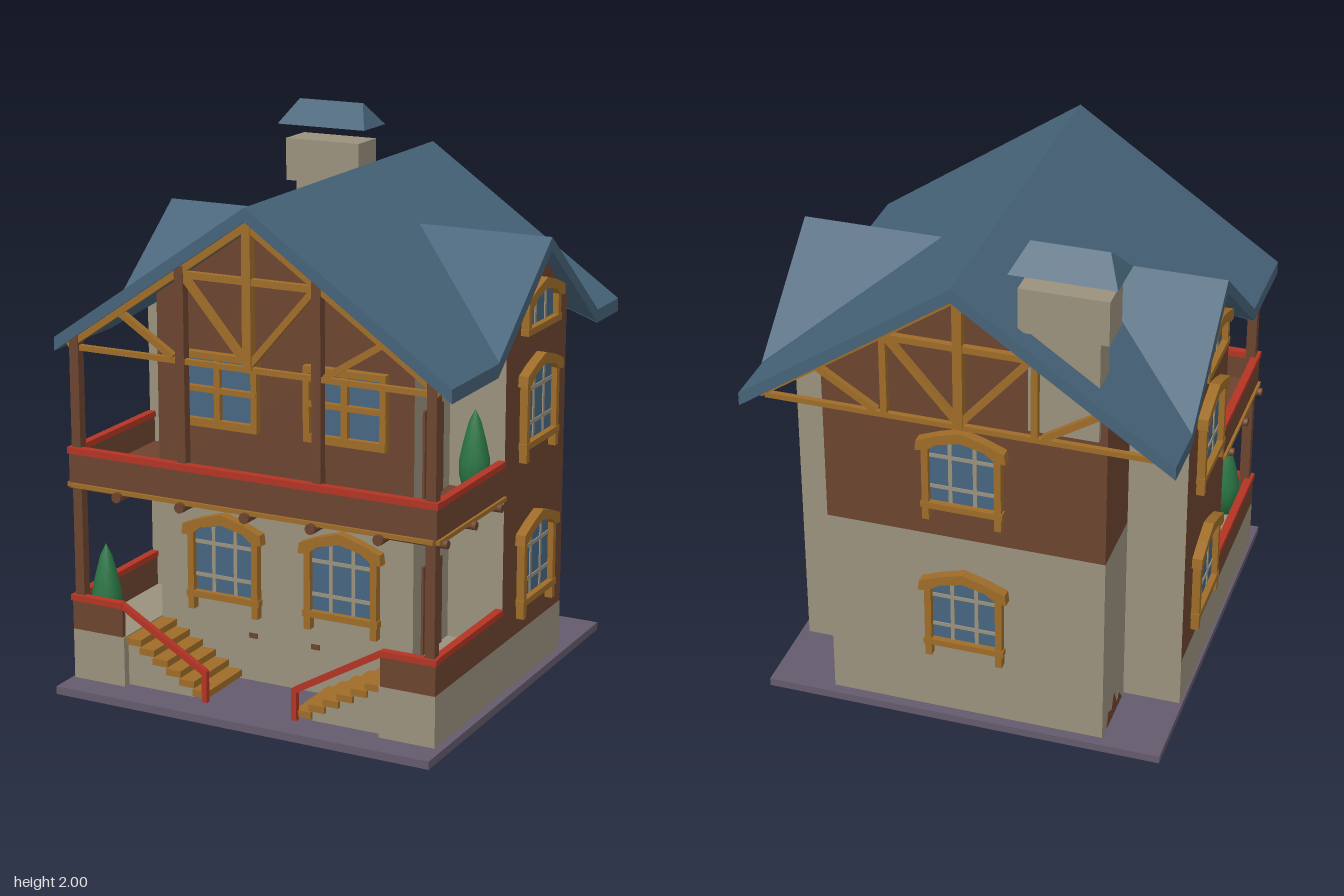
import * as THREE from 'three';

const mat = (name, color) => {
  const m = new THREE.MeshStandardMaterial({ color });
  m.name = name;
  return m;
};

export function createModel() {
  const house = new THREE.Group();
  house.name = 'house';
  const slate = mat('slate', 0x456278), wood = mat('brownWood', 0x6c442f), plaster = mat('plaster', 0x9a917d),
    trim = mat('goldenTrim', 0x9e6c28), red = mat('redRail', 0xb23424), glass = mat('glass', 0x466680),
    green = mat('foliage', 0x2a7444), stone = mat('purpleStone', 0x645a6c);

  const add = (name, geo, material, parent = house) => {
    const m = new THREE.Mesh(geo, material);
    m.name = name;
    parent.add(m);
    return m;
  };
  // Box given by its minimum and maximum corners
  const block = (name, material, x0, x1, y0, y1, z0, z1, parent = house) => {
    const m = add(name, new THREE.BoxGeometry(Math.abs(x1 - x0), y1 - y0, z1 - z0), material, parent);
    m.position.set((x0 + x1) / 2, (y0 + y1) / 2, (z0 + z1) / 2);
    return m;
  };
  // Square beam between two points
  const beam = (name, material, a, b, w = 0.024) => {
    const p = new THREE.Vector3(...a), q = new THREE.Vector3(...b);
    const m = add(name, new THREE.BoxGeometry(w, w, p.distanceTo(q)), material);
    m.position.copy(p).lerp(q, 0.5);
    m.lookAt(q);
    return m;
  };
  const shapeOf = pts => new THREE.Shape(pts.map(p => new THREE.Vector2(...p)));
  const extrude = (pts, depth) => new THREE.ExtrudeGeometry(shapeOf(pts), { depth, bevelEnabled: false });

  // Ground plate and storey walls
  block('groundPlate', stone, -0.74, 0.76, 0, 0.03, -0.73, 0.8);
  block('lowerWalls', plaster, -0.515, 0.515, 0.03, 0.79, -0.69, 0.42);
  const gable = [[-0.515, 0.79], [0.515, 0.79], [0.515, 1.45], [0, 1.8], [-0.515, 1.45]];
  add('upperFrontWalls', extrude(gable, 0.56), [wood, plaster]).position.z = -0.14;
  add('upperBackWalls', extrude(gable, 0.55), wood).position.z = -0.69;

  // Cross wing: wooden gable ends, plaster flanks
  const zc = -0.14;
  const wing = extrude([[0.41, 0.22], [0.41, 1.405], [0.14, 1.62], [-0.13, 1.405], [-0.13, 0.22]], 1.46);
  wing.rotateY(Math.PI / 2).translate(-0.73, 0, 0);
  add('sideWing', wing, [wood, plaster]);

  // Roof panels: plan outlines lifted onto their slopes
  const mainSlope = (x) => 1.85 - 0.69 * Math.abs(x);
  const wingSlope = (x, z) => 1.67 - 0.79 * Math.abs(z - zc);
  const roofPanel = (name, plan, slope) => {
    const g = extrude(plan.map(([x, z]) => [x, -z]), 0.05).rotateX(-Math.PI / 2);
    const p = g.attributes.position;
    for (let i = 0; i < p.count; i++) p.setY(i, p.getY(i) - 0.05 + slope(p.getX(i), p.getZ(i)));
    g.computeVertexNormals();
    add(name, g, slate);
  };
  for (const s of [-1, 1]) {
    const e = 0.78 * s, v = 0.26 * s;
    roofPanel('mainRoof', [[0, 0.69], [e, 0.69], [e, zc + 0.45], [v, zc], [e, zc - 0.45], [e, -0.8], [0, -0.8]], mainSlope);
    for (const t of [-0.45, 0.45]) roofPanel('wingRoof', [[v, zc], [e, zc], [e, zc + t]], wingSlope);
  }

  // Chimney with hipped cap
  block('chimneyStem', plaster, -0.49, -0.24, 1.3, 1.7, -0.71, -0.6);
  block('chimneyHead', plaster, -0.525, -0.21, 1.69, 1.855, -0.73, -0.58);
  const cap = new THREE.BoxGeometry(0.375, 0.09, 0.18);
  const cp = cap.attributes.position;
  for (let i = 0; i < cp.count; i++) if (cp.getY(i) > 0) cp.setXYZ(i, cp.getX(i) * 0.73, 0.045, cp.getZ(i) * 0.02);
  const capGeo = cap.toNonIndexed();
  capGeo.computeVertexNormals();
  add('chimneyCap', capGeo, slate).position.set(-0.368, 1.955, -0.658);

  // Gable trusses front and back
  for (const z of [0.665, -0.725]) {
    beam('trussTie', trim, [-0.71, 1.28, z], [0.71, 1.28, z], 0.02);
    beam('trussKingPost', trim, [0, 1.28, z], [0, 1.79, z], 0.034);
    beam('trussCollar', trim, [-0.28, 1.59, z], [0.28, 1.59, z]);
    for (const s of [-1, 1]) {
      beam('trussRafter', trim, [0, 1.785, z], [0.73 * s, 1.285, z], 0.028);
      beam('trussBrace', trim, [0, 1.29, z], [0.25 * s, 1.58, z]);
      beam('trussStrut', trim, [0.3 * s, 1.29, z], [0.52 * s, 1.43, z]);
      if (z < 0) beam('trussPost', trim, [0.27 * s, 1.28, z], [0.27 * s, 1.6, z]);
    }
  }

  // Terrace, balcony, posts and stairs, mirrored left and right
  block('balconyFloor', wood, -0.73, 0.73, 0.772, 0.792, 0.41, 0.69);
  block('balconyParapet', wood, -0.73, 0.73, 0.79, 0.89, 0.67, 0.69);
  block('balconyRail', red, -0.735, 0.735, 0.888, 0.912, 0.665, 0.695);
  block('balconyEdge', trim, -0.72, 0.72, 0.764, 0.78, 0.685, 0.7);
  for (const s of [-1, 1]) {
    block('terraceBase', plaster, 0.515 * s, 0.73 * s, 0.03, 0.22, -0.41, 0.69);
    block('terraceParapet', wood, 0.52 * s, 0.73 * s, 0.22, 0.335, 0.67, 0.69);
    block('terraceRail', red, 0.52 * s, 0.735 * s, 0.33, 0.352, 0.665, 0.695);
    block('balconyFloor', wood, 0.51 * s, 0.73 * s, 0.772, 0.792, 0.13, 0.41);
    block('balconyEdge', trim, 0.725 * s, 0.74 * s, 0.764, 0.78, 0.13, 0.69);
    for (const [y, h] of [[0.22, 0.115], [0.79, 0.1]]) {
      block('sideParapet', wood, 0.71 * s, 0.73 * s, y, y + h, 0.13, 0.67);
      block('sideRail', red, 0.705 * s, 0.735 * s, y + h - 0.002, y + h + 0.02, 0.13, 0.67);
    }
    block('lowerPost', wood, 0.685 * s, 0.722 * s, 0.22, 0.775, 0.645, 0.682);
    block('upperPost', wood, 0.685 * s, 0.722 * s, 0.79, 1.33, 0.645, 0.682);
    block('gablePost', wood, 0.25 * s, 0.285 * s, 0.79, 1.62, 0.645, 0.68);
    // Steps falling towards the middle
    for (let i = 0; i < 6; i++) {
      const x = (0.515 - i * 0.055) * s, y = 0.215 - i * 0.03;
      block('stairTread', trim, x, x - 0.062 * s, y - 0.025, y, 0.42, 0.675);
      if (i < 5) block('stairBody', plaster, x, x - 0.055 * s, 0.03, y - 0.025, 0.42, 0.66);
    }
    beam('stairRail', red, [0.525 * s, 0.341, 0.68], [0.18 * s, 0.141, 0.68], 0.022);
    beam('stairNewel', red, [0.182 * s, 0.03, 0.68], [0.182 * s, 0.148, 0.68], 0.02);
    // Floor logs poking out at the sides
    for (const z of [0.2, 0.42, 0.65]) {
      const log = add('sideLog', new THREE.CylinderGeometry(0.016, 0.016, 0.25, 8), wood);
      log.rotation.z = Math.PI / 2;
      log.position.set(0.63 * s, 0.758, z);
    }
  }
  for (let i = -2; i <= 2; i++) {
    const log = add('frontLog', new THREE.CylinderGeometry(0.02, 0.02, 0.3, 8), wood);
    log.rotation.x = Math.PI / 2;
    log.position.set(i * 0.26, 0.756, 0.565);
  }

  // Doors onto the terrace and balcony
  for (const y of [0.22, 0.79]) block('sideDoor', wood, 0.515, 0.524, y, y + 0.33, 0.2, 0.355);

  // Arched window facing +z, sill at its origin
  const archedWindow = (x, y, z, turn, h, leg) => {
    const g = new THREE.Group();
    g.name = 'archedWindow';
    block('windowGlass', glass, -0.125, 0.125, 0, h + 0.01, 0, 0.008, g);
    for (const k of [-0.045, 0.045]) {
      block('verticalMuntin', plaster, k - 0.007, k + 0.007, 0, h, 0.006, 0.012, g);
      if (h > 0.2) block('crossMuntin', plaster, -0.125, 0.125, h / 2 + k * 1.4 - 0.007, h / 2 + k * 1.4 + 0.007, 0.006, 0.012, g);
    }
    for (const s of [-1, 1]) block('windowJamb', trim, 0.12 * s, 0.145 * s, -leg, h, 0, 0.03, g);
    block('windowSill', trim, -0.15, 0.15, -0.022, 0.002, 0, 0.032, g);
    add('windowHood', extrude([[-0.165, h - 0.035], [-0.125, h - 0.03], [-0.085, h], [0, h + 0.02], [0.085, h],
      [0.125, h - 0.03], [0.165, h - 0.035], [0.16, h + 0.005], [0.085, h + 0.035], [0, h + 0.06],
      [-0.085, h + 0.035], [-0.16, h + 0.005]], 0.038), trim, g);
    g.position.set(x, y, z);
    g.rotation.y = turn;
    house.add(g);
  };
  for (const s of [-1, 1]) {
    archedWindow(0.24 * s, 0.35, 0.42, 0, 0.25, 0.07);
    for (const [y, h, leg] of [[0.35, 0.25, 0.07], [0.94, 0.25, 0.07], [1.36, 0.105, 0.01]])
      archedWindow(0.73 * s, y, zc, s * Math.PI / 2, h, leg);
  }
  for (const y of [0.35, 0.94]) archedWindow(0, y, -0.69, Math.PI, 0.25, 0.07);

  // Double casements on the balcony
  for (const c of [-0.255, 0.255]) {
    block('casementGlass', glass, c - 0.15, c + 0.15, 1, 1.24, 0.42, 0.428);
    for (const [y, w] of [[0.98, 0.03], [1.11, 0.02], [1.232, 0.024]])
      block('casementRail', trim, c - 0.16, c + 0.16, y, y + w, 0.42, 0.45);
    for (const k of [-0.15, 0, 0.15]) block('casementStile', trim, c + k - 0.012, c + k + 0.012, 0.98, 1.256, 0.42, 0.448);
  }

  // Potted evergreens
  const bush = [[0, 0], [0.035, 0], [0.055, 0.08], [0.055, 0.13], [0.04, 0.2], [0.022, 0.27], [0, 0.315]]
    .map(p => new THREE.Vector2(...p));
  for (const [x, y, z] of [[-0.64, 0.22, 0.6], [0.64, 0.79, 0.19]])
    add('evergreen', new THREE.LatheGeometry(bush, 12), green).position.set(x, y, z);

  // Worn patches on the plaster
  for (const s of [-1, 1]) {
    block('wornPatch', wood, 0.11 * s, 0.145 * s, 0.195, 0.215, 0.42, 0.423);
    const patch = extrude([[-0.1, 0], [0.1, 0], [0.06, 0.05], [0.03, 0.03], [-0.01, 0.1], [-0.04, 0.04], [-0.08, 0.06]], 0.003);
    const m = add('wornPatch', patch, wood);
    m.rotation.y = s * Math.PI / 2;
    m.position.set(0.515 * s, 0.035, -0.54);
  }
  return house;
}
